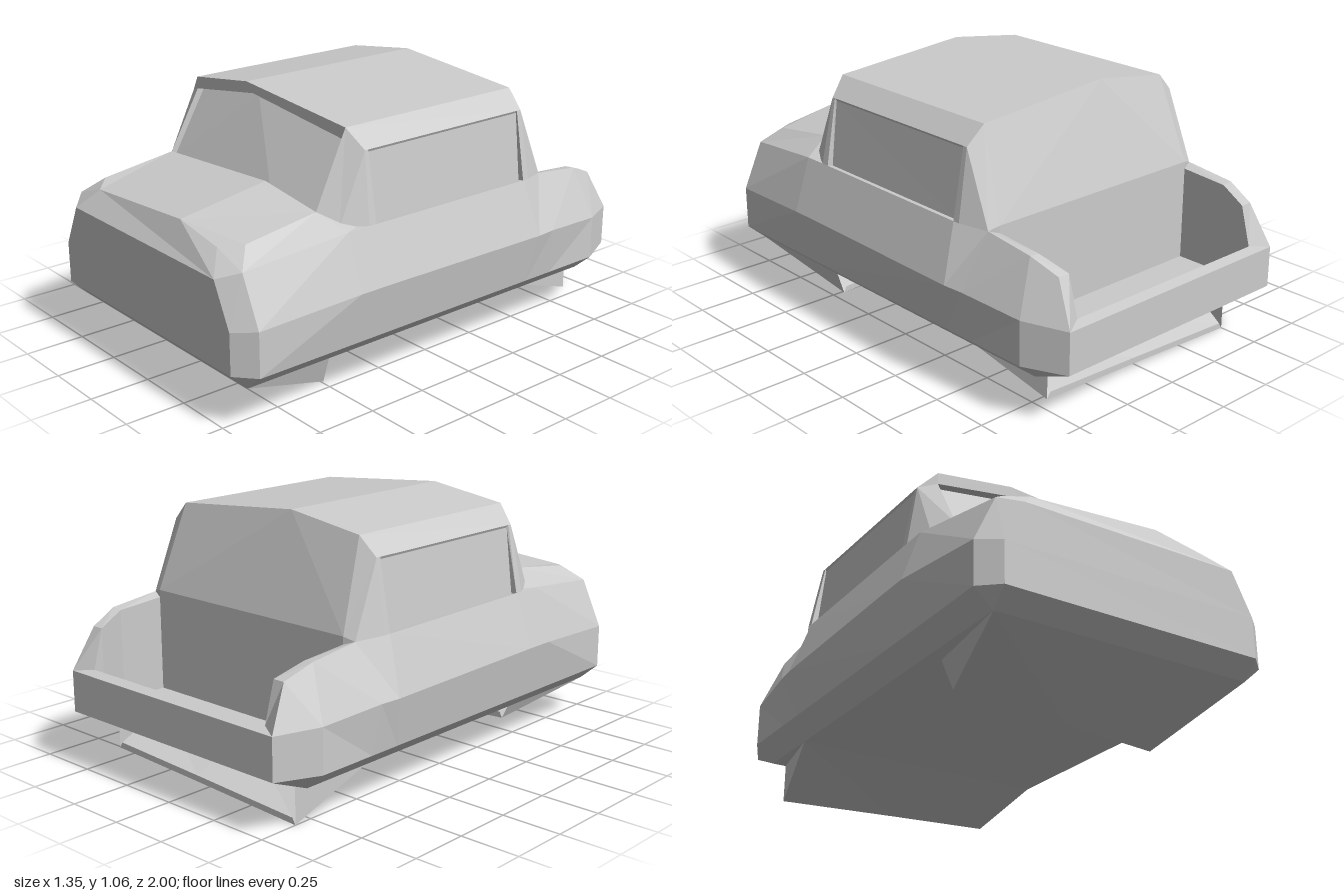
import * as THREE from 'three';

const material = new THREE.MeshStandardMaterial({ color: 0xcccccc, flatShading: true, side: THREE.DoubleSide });

const flip = ([x, y, z]) => [-x, y, z];
const mirrorPoly = (poly) => poly.map(flip).reverse();
const bothSides = (polys) => [...polys, ...polys.map(mirrorPoly)];

// Builds one faceted mesh from convex polygons
function panels(name, polys) {
  const positions = [];
  for (const p of polys) {
    for (let i = 1; i < p.length - 1; i++) positions.push(...p[0], ...p[i], ...p[i + 1]);
  }
  const geometry = new THREE.BufferGeometry();
  geometry.setAttribute('position', new THREE.Float32BufferAttribute(positions, 3));
  geometry.computeVertexNormals();
  const mesh = new THREE.Mesh(geometry, material);
  mesh.name = name;
  return mesh;
}

// Half cross-sections, nose to tail: sill, chamfer, waist, shoulder, inner top edge
const nose = [[0.56, 0.23, 1], [0.56, 0.23, 1], [0.56, 0.4, 1], [0.475, 0.575, 1], [0.475, 0.575, 1]];
const front = [[0.56, 0.16, 0.93], [0.64, 0.23, 0.93], [0.64, 0.41, 0.93], [0.55, 0.605, 0.93], [0.4, 0.655, 0.93]];
const corner = [[0.56, 0.16, 0.93], [0.64, 0.23, 0.93], [0.64, 0.41, 0.93], [0.55, 0.605, 0.93], [0.475, 0.67, 0.86]];
const cowl = [[0.56, 0.16, 0.49], [0.64, 0.23, 0.49], [0.675, 0.44, 0.49], [0.6, 0.66, 0.49], [0.475, 0.715, 0.54]];
const doorFront = [[0.56, 0.16, 0.355], [0.64, 0.23, 0.355], [0.675, 0.44, 0.355], [0.6, 0.66, 0.355], [0.575, 0.655, 0.355]];
const doorRear = [[0.56, 0.16, -0.43], [0.64, 0.23, -0.43], [0.675, 0.43, -0.46], [0.6, 0.655, -0.43], [0.575, 0.65, -0.43]];
const fender = [[0.56, 0.16, -0.57], [0.64, 0.23, -0.57], [0.668, 0.43, -0.55], [0.555, 0.645, -0.57], [0.51, 0.63, -0.585]];
const haunch = [[0.56, 0.16, -0.83], [0.64, 0.23, -0.83], [0.64, 0.41, -0.83], [0.555, 0.62, -0.79], [0.51, 0.615, -0.79]];
const tail = [[0.56, 0.23, -1], [0.56, 0.23, -1], [0.56, 0.4, -1], [0.53, 0.57, -0.91], [0.48, 0.57, -0.91]];
const stations = [nose, front, corner, cowl, doorFront, doorRear, fender, haunch, tail];

function bodySides() {
  const polys = [];
  for (let s = 0; s < stations.length - 1; s++) {
    for (let k = 0; k < 4; k++) {
      const a = stations[s], b = stations[s + 1];
      polys.push([a[k], b[k], b[k + 1]], [a[k], b[k + 1], a[k + 1]]);
    }
  }
  return panels('bodySides', bothSides(polys));
}

// Sloping scoop under the floor, open towards the rear
function skirt(name, topZ, bottomZ, left, middle, right) {
  const top = [[-0.56, 0.16, topZ], [0.05, 0.16, topZ], [0.56, 0.16, topZ]];
  const bottom = [left, middle, right].map(([x, y]) => [x, y, bottomZ]);
  const inner = bottom.map(([x, y, z]) => [x * 0.97, y + 0.025, z]);
  const innerTop = top.map(([x, , z]) => [x * 0.97, 0.155, z + (bottomZ - topZ) * 0.1]);
  const polys = [];
  for (let i = 0; i < 2; i++) {
    polys.push([top[i], bottom[i], bottom[i + 1], top[i + 1]]);
    polys.push([inner[i], innerTop[i], innerTop[i + 1], inner[i + 1]]);
    polys.push([bottom[i], inner[i], inner[i + 1], bottom[i + 1]]);
  }
  polys.push([top[0], [-0.5, 0.16, bottomZ], bottom[0]]);
  polys.push([top[2], bottom[2], [0.5, 0.16, bottomZ]]);
  return panels(name, polys);
}

export function createModel() {
  const car = new THREE.Group();
  car.name = 'car';
  const add = (name, polys) => car.add(panels(name, polys));

  car.add(bodySides());

  // Floor pan with chamfered ends
  const floor = [nose, front, haunch, tail].map((s) => s[0]);
  add('floor', [0, 1, 2].map((i) => [floor[i], flip(floor[i]), flip(floor[i + 1]), floor[i + 1]]));

  // Nose and hood, with an off-centre ridge
  const hoodFront = [0.17, 0.695, 0.93], hoodRear = [0.17, 0.755, 0.54];
  add('nosePanel', [
    [nose[0], nose[2], flip(nose[2]), flip(nose[0])],
    [nose[2], nose[3], flip(nose[3]), flip(nose[2])],
    [nose[3], front[4], hoodFront, flip(front[4]), flip(nose[3])],
  ]);
  add('hood', [
    [hoodFront, front[4], corner[4], cowl[4], hoodRear],
    [flip(front[4]), hoodFront, hoodRear, flip(cowl[4]), flip(corner[4])],
  ]);

  // Roof, with an off-centre ridge, and sloping roof rails
  const roofF = [0.475, 1.01, 0.4], roofR = [0.475, 1.01, -0.46];
  const ridgeF = [-0.13, 1.06, 0.4], ridgeR = [-0.13, 1.06, -0.46];
  const eaveF = [0.55, 0.935, 0.37], eaveR = [0.55, 0.935, -0.45];
  add('roof', [
    [roofF, roofR, ridgeR, ridgeF],
    [ridgeF, ridgeR, flip(roofR), flip(roofF)],
    ...bothSides([[roofF, eaveF, eaveR, roofR]]),
  ]);

  // Recessed windshield under the roof header
  const headL = [0.475, 0.96, 0.4], headM = [-0.09, 1.02, 0.4];
  const glassL = [0.475, 0.955, 0.37], glassM = [-0.09, 1.012, 0.37];
  const baseL = [0.475, 0.7, 0.52], baseM = [0.17, 0.74, 0.52];
  add('windshieldFrame', [
    [roofF, ridgeF, headM, headL],
    [ridgeF, flip(roofF), flip(headL), headM],
    [headL, headM, glassM, glassL],
    [headM, flip(headL), flip(glassL), glassM],
    [cowl[4], hoodRear, baseM, baseL],
    [hoodRear, flip(cowl[4]), flip(baseL), baseM],
    ...bothSides([[headL, glassL, baseL, cowl[4]]]),
  ]);
  add('windshield', [
    [glassL, glassM, baseM, baseL],
    [glassM, flip(glassL), flip(baseL), baseM],
  ]);

  // Front pillars and door posts
  const pillarFoot = [0.55, 0.665, 0.49], postFoot = [0.6, 0.66, 0.39];
  const postTop = [0.55, 0.935, 0.355];
  add('frontPillars', bothSides([
    [roofF, headL, cowl[4], pillarFoot, eaveF],
    [eaveF, pillarFoot, postFoot],
    [eaveF, postFoot, doorFront[3], postTop],
    [pillarFoot, cowl[3], postFoot],
  ]));

  // Side windows set into their frames
  const winF = [0.545, 0.925, 0.35], winR = [0.545, 0.925, -0.43];
  const rearPostTop = [0.55, 0.935, -0.43];
  add('sideWindows', bothSides([
    [winF, doorFront[4], doorRear[4], winR],
    [postTop, winF, winR, rearPostTop],
    [postTop, doorFront[3], doorFront[4], winF],
    [rearPostTop, winR, doorRear[4], doorRear[3]],
  ]));

  // Rear pillars
  const rearFoot = [0.6, 0.655, -0.46], sillR = [0.51, 0.66, -0.585];
  add('rearPillars', bothSides([
    [rearPostTop, doorRear[3], rearFoot, eaveR],
    [eaveR, rearFoot, fender[3]],
    [roofR, eaveR, fender[3], sillR],
    [sillR, fender[3], fender[4]],
  ]));

  add('rearWindow', [
    [ridgeR, roofR, sillR],
    [ridgeR, sillR, flip(sillR)],
    [ridgeR, flip(sillR), flip(roofR)],
  ]);

  // Sunken bay between the rear fenders
  const bayF = [0.51, 0.24, -0.585], bayM = [0.51, 0.24, -0.79], bayR = [0.48, 0.24, -0.91];
  const rim = [0.48, 0.41, -0.955];
  add('rearBay', [
    [sillR, bayF, flip(bayF), flip(sillR)],
    [bayF, bayM, flip(bayM), flip(bayF)],
    [bayM, bayR, flip(bayR), flip(bayM)],
    [bayR, rim, flip(rim), flip(bayR)],
    ...bothSides([
      [fender[4], haunch[4], bayM, bayF],
      [haunch[4], tail[4], bayR, bayM],
      [tail[4], rim, bayR],
    ]),
  ]);

  // Rear bumper wall and rim
  add('rearBumper', [
    [tail[0], flip(tail[0]), flip(tail[2]), tail[2]],
    [tail[2], flip(tail[2]), flip(rim), rim],
    ...bothSides([[tail[2], rim, tail[4], tail[3]]]),
  ]);

  car.add(skirt('frontSkirt', 0.93, 0.49, [-0.45, 0.055], [0.05, 0.025], [0.45, 0]));
  car.add(skirt('rearSkirt', -0.52, -0.83, [-0.5, 0], [0.03, 0.025], [0.5, 0.045]));
  return car;
}
